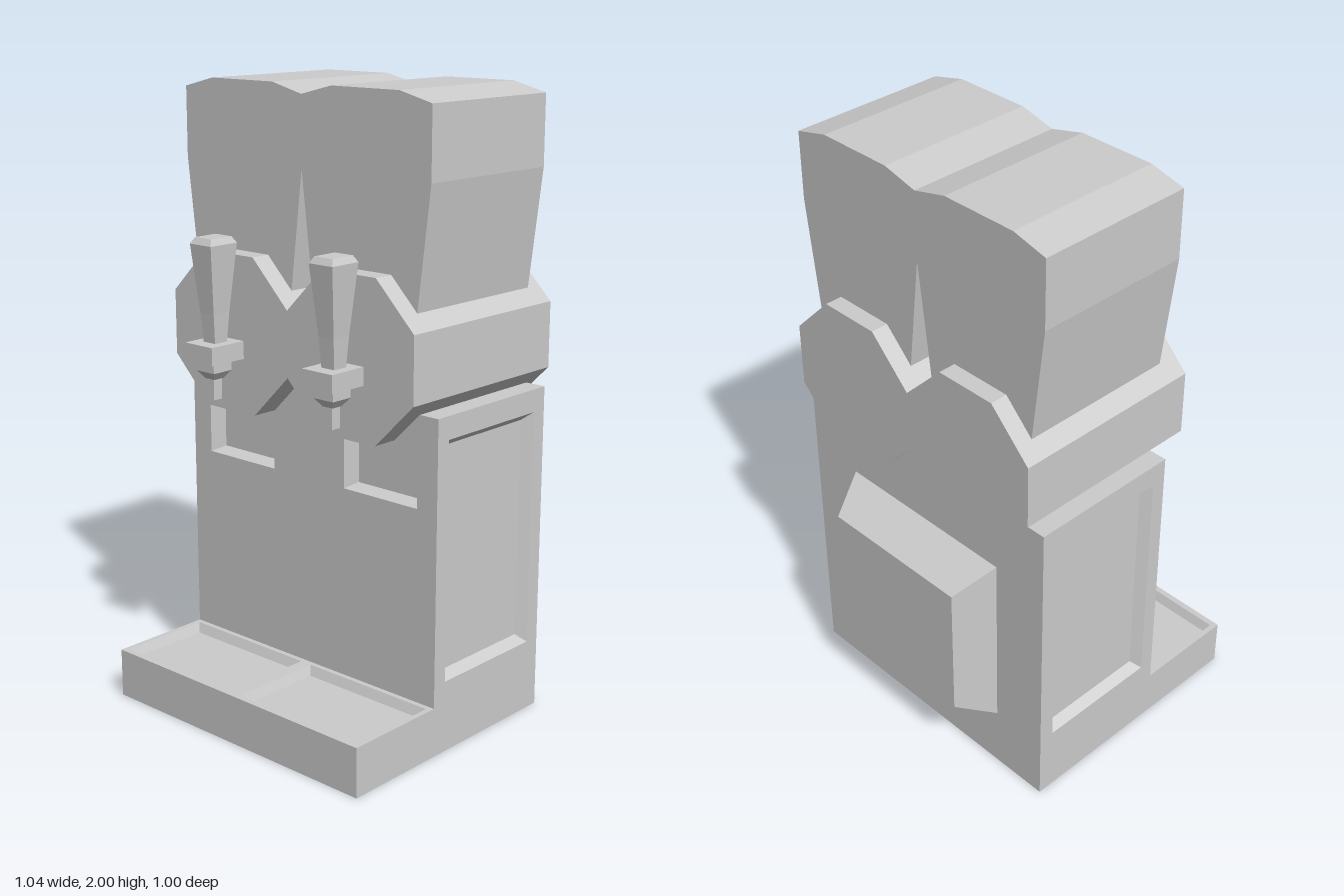
import * as THREE from 'three';

const material = new THREE.MeshStandardMaterial({ color: 0xcccccc, flatShading: true });

function mesh(name, geometry) {
  const m = new THREE.Mesh(geometry, material);
  m.name = name;
  return m;
}

function shapeOf(points) {
  return new THREE.Shape(points.map(([x, y]) => new THREE.Vector2(x, y)));
}

const rectPoints = (x0, y0, x1, y1) => [[x0, y0], [x1, y0], [x1, y1], [x0, y1]];

// Rectangular sections [width, height, z] joined along z; falling z gives an inward-facing tub.
function loft(sections, capStart = true) {
  const rings = sections.map(([w, h, z]) =>
    rectPoints(-w / 2, -h / 2, w / 2, h / 2).map(([x, y]) => [x, y, z]));
  const pos = [];
  const quad = (a, b, c, d) => pos.push(...a, ...b, ...c, ...a, ...c, ...d);
  for (let i = 0; i < rings.length - 1; i++) {
    for (let j = 0; j < 4; j++) {
      const k = (j + 1) % 4;
      quad(rings[i][j], rings[i][k], rings[i + 1][k], rings[i + 1][j]);
    }
  }
  quad(...rings[rings.length - 1]);
  if (capStart) quad(...[...rings[0]].reverse());
  const g = new THREE.BufferGeometry();
  g.setAttribute('position', new THREE.Float32BufferAttribute(pos, 3));
  g.computeVertexNormals();
  return g;
}

// Flat face with bevelled recesses given as [x0, y0, x1, y1]
function panel(name, outline, recesses = [], depth = 0.03, inset = 0.02) {
  const group = new THREE.Group();
  group.name = name;
  const shape = shapeOf(outline);
  for (const r of recesses) {
    shape.holes.push(shapeOf(rectPoints(...r)));
    const w = r[2] - r[0], h = r[3] - r[1];
    const tub = mesh(name + 'Recess',
      loft([[w, h, 0], [w - 2 * inset, h - 2 * inset, -depth]], false));
    tub.position.set((r[0] + r[2]) / 2, (r[1] + r[3]) / 2, 0);
    group.add(tub);
  }
  group.add(mesh(name + 'Face', new THREE.ShapeGeometry(shape)));
  return group;
}

function extrude(name, points, z0, z1) {
  const g = new THREE.ExtrudeGeometry(shapeOf(points), { depth: z1 - z0, bevelEnabled: false });
  g.translate(0, 0, z0);
  return mesh(name, g);
}

// Cabinet and drip tray share one L-shaped shell
function createCabinet() {
  const W = 0.52, H = 1.07, T = 0.16, back = -0.37, front = 0.15, lip = 0.5;
  const body = new THREE.Group();
  body.name = 'cabinet';
  const add = (p, [x, y, z], rx = 0, ry = 0) => {
    p.position.set(x, y, z);
    p.rotation.set(rx, ry, 0);
    body.add(p);
  };
  const up = -Math.PI / 2;

  add(panel('frontPanel', rectPoints(-W, T, W, H),
    [[-0.443, 0.78, -0.15, 0.938], [0.15, 0.78, 0.443, 0.938]], 0.06, 0.008), [0, 0, front]);
  add(panel('trayFront', rectPoints(-W, 0, W, T)), [0, 0, lip]);
  add(panel('backPanel', rectPoints(-W, 0, W, H)), [0, 0, back], 0, Math.PI);
  add(panel('cabinetTop', rectPoints(-W, -front, W, -back)), [0, H, 0], up);
  add(panel('bottom', rectPoints(-W, back, W, lip)), [0, 0, 0], -up);
  add(panel('dripTray', rectPoints(-W, -lip, W, -front),
    [[-0.503, -0.48, -0.02, -0.167], [0.02, -0.48, 0.503, -0.167]], 0.03, 0.014), [0, T, 0], up);

  for (const s of [1, -1]) {
    const outline = [[lip, 0], [lip, T], [front, T], [front, H], [back, H], [back, 0]]
      .map(([z, y]) => [-s * z, y]);
    const recess = s > 0 ? [-0.1, 0.232, 0.317, 0.997] : [-0.317, 0.232, 0.1, 0.997];
    add(panel(s > 0 ? 'leftSide' : 'rightSide', outline, [recess], 0.03, 0.025),
      [s * W, 0, 0], 0, s * Math.PI / 2);
  }

  // Tapered housing on the back
  const housing = mesh('rearHousing', loft([[0.65, 0.62, 0], [0.53, 0.465, 0.13]]));
  add(housing, [0, 0.525, back], 0, Math.PI);
  return body;
}

// Tap: handle, collar, nozzle
function createTap() {
  const tap = new THREE.Group();
  tap.name = 'tap';
  const part = (name, sections, z) => {
    const m = mesh(name, loft(sections).rotateX(-Math.PI / 2));
    m.position.z = z;
    tap.add(m);
  };
  part('tapHandle', [[0.05, 0.05, 1.2], [0.06, 0.066, 1.3], [0.092, 0.11, 1.515], [0.07, 0.086, 1.535]], 0.303);
  part('tapCollar', [[0.12, 0.135, 1.15], [0.12, 0.135, 1.207]], 0.3075);
  part('tapNozzle', [[0.04, 0.04, 1.092], [0.076, 0.076, 1.117], [0.076, 0.076, 1.15]], 0.31);
  part('tapSpout', [[0.03, 0.034, 1.025], [0.03, 0.034, 1.1]], 0.31);
  return tap;
}

// One dispenser: octagonal drum, hopper above it, tap in front
function createDispenser(name) {
  const unit = new THREE.Group();
  unit.name = name;
  const octagon = [[0.25, -0.105], [0.25, 0.105], [0.105, 0.25], [-0.105, 0.25],
    [-0.25, 0.105], [-0.25, -0.105], [-0.105, -0.25], [0.105, -0.25]]
    .map(([x, y]) => [x, y + 1.225]);
  unit.add(extrude('drum', octagon, -0.415, 0.24));
  const half = [[0.204, 1.37], [0.25, 1.75], [0.25, 1.97], [0.13, 2]];
  const outline = [...half, ...half.map(([x, y]) => [-x, y]).reverse()];
  unit.add(extrude('hopper', outline, -0.357, 0.173));
  unit.add(createTap());
  return unit;
}

export function createModel() {
  const model = new THREE.Group();
  model.name = 'drinkDispenser';
  model.add(createCabinet());
  for (const s of [1, -1]) {
    const unit = createDispenser(s > 0 ? 'leftDispenser' : 'rightDispenser');
    unit.position.x = s * 0.25;
    model.add(unit);
  }
  return model;
}
